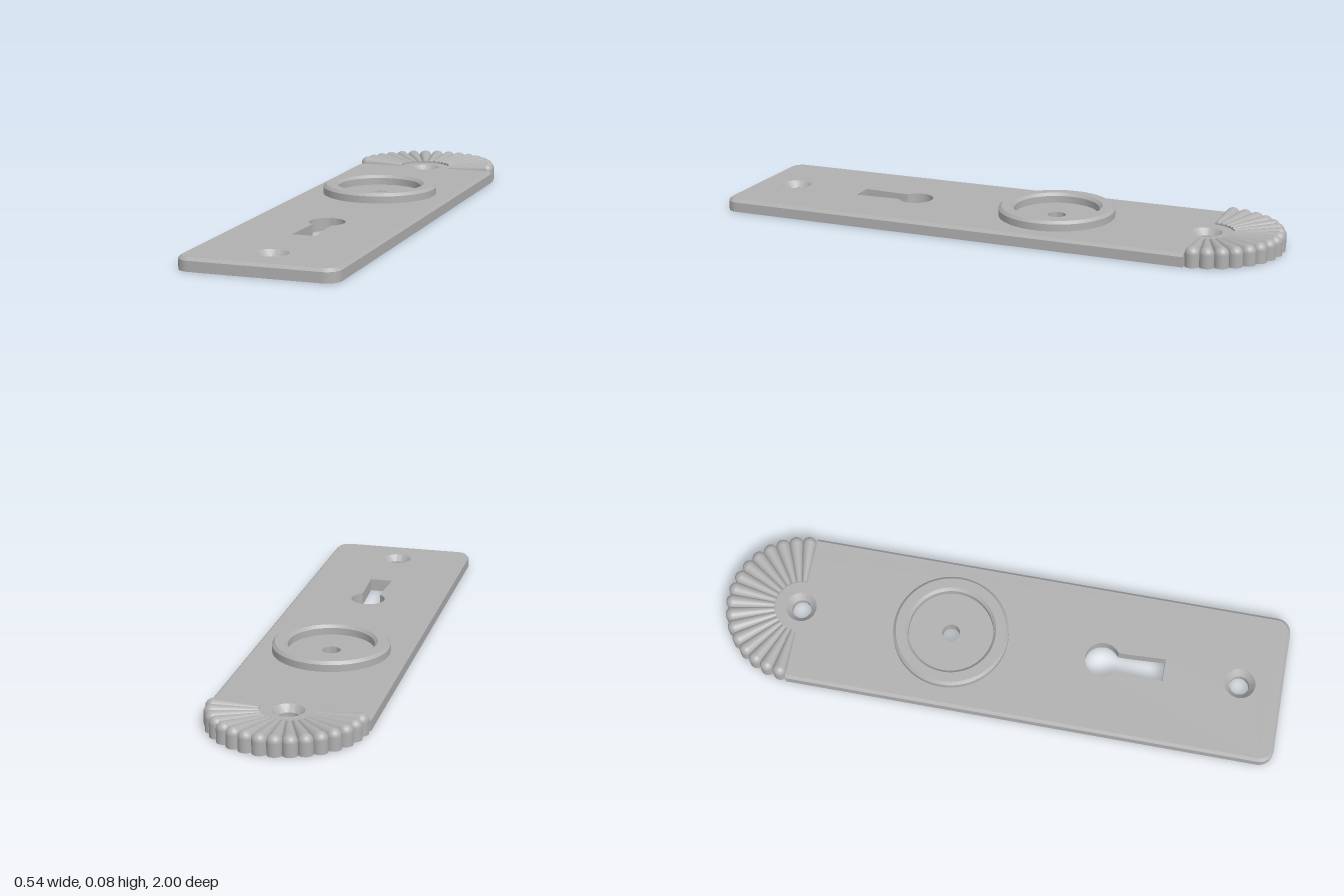
import * as THREE from 'three';
import { toCreasedNormals } from 'three/addons/utils/BufferGeometryUtils.js';

const HALF = 0.27, FAN_Z = -0.73, TOP = 0.045, CORNER = 0.05;
const SCREWS = [FAN_Z, 0.85]; // z of the countersunk holes
const LAYERS = [0, 0.022, 0.035, TOP]; // heights of the plate's edge loops

function circleHole(z, r) {
  return new THREE.Path().absarc(0, -z, r, 0, Math.PI * 2, true);
}

// Backplate: outline with holes, chamfered upper edge, countersunk screw holes
function plateGeometry() {
  const s = new THREE.Shape();
  s.moveTo(-HALF, -FAN_Z);
  s.lineTo(-HALF, -1 + CORNER);
  s.absarc(-HALF + CORNER, -1 + CORNER, CORNER, Math.PI, Math.PI * 1.5, false);
  s.absarc(HALF - CORNER, -1 + CORNER, CORNER, Math.PI * 1.5, Math.PI * 2, false);
  s.lineTo(HALF, -FAN_Z);
  s.absarc(0, -FAN_Z, 0.246, 0, Math.PI, false);

  const key = new THREE.Path();
  const a = Math.asin(0.034 / 0.062);
  key.absarc(0, -0.36, 0.062, -Math.PI / 2 + a, Math.PI * 1.5 - a, false);
  key.lineTo(-0.034, -0.44);
  key.lineTo(-0.041, -0.58);
  key.lineTo(0.041, -0.58);
  key.lineTo(0.034, -0.44);
  s.holes.push(key, circleHole(-0.185, 0.032), ...SCREWS.map(z => circleHole(z, 0.034)));

  const g = new THREE.ExtrudeGeometry(s, { depth: 3, steps: 3, bevelEnabled: false, curveSegments: 24 });
  g.rotateX(-Math.PI / 2);
  const p = g.attributes.position;
  for (let i = 0; i < p.count; i++) {
    const layer = Math.round(p.getY(i)), y = LAYERS[layer];
    let x = p.getX(i), z = p.getZ(i);
    const screw = SCREWS.find(c => Math.hypot(x, z - c) < 0.05);
    if (screw !== undefined) {
      const k = 1 + 0.6 * Math.max(0, (y - LAYERS[1]) / (TOP - LAYERS[1]));
      x *= k;
      z = screw + (z - screw) * k;
    } else if (layer === 3) {
      const dx = x - THREE.MathUtils.clamp(x, CORNER - HALF, HALF - CORNER);
      const dz = z - THREE.MathUtils.clamp(z, FAN_Z, 1 - CORNER);
      const d = Math.hypot(dx, dz);
      if (d > 0.001) {
        x -= dx / d * 0.01;
        z -= dz / d * 0.01;
      }
    }
    p.setXYZ(i, x, y, z);
  }
  return toCreasedNormals(g, 0.5);
}

// Raised collar around the knob hole
function collarGeometry() {
  const profile = [[0.15, 0.04], [0.15, 0.07], [0.16, 0.08], [0.195, 0.08], [0.205, 0.07], [0.205, 0.04]];
  const pts = profile.reverse().map(([r, y]) => new THREE.Vector2(r, y));
  pts.push(pts[0].clone());
  pts.reverse();
  // the lathe needs its outer wall running upwards to face outwards
  pts.reverse();
  return toCreasedNormals(new THREE.LatheGeometry(pts, 72), 0.5);
}

export function createModel() {
  const model = new THREE.Group();
  model.name = 'doorBackplate';
  const metal = new THREE.MeshStandardMaterial({ color: 0xb0b0b0 });
  metal.name = 'greyMetal';
  const add = (parent, geometry, name) => {
    const m = new THREE.Mesh(geometry, metal);
    m.name = name;
    parent.add(m);
    return m;
  };

  add(model, plateGeometry(), 'plate');
  add(model, collarGeometry(), 'knobCollar').position.z = -0.185;

  // Fan of tapered ribs, each ending in a domed post
  const fan = new THREE.Group();
  fan.name = 'shellFan';
  fan.position.z = FAN_Z;
  model.add(fan);
  const COUNT = 16, R0 = 0.095, R1 = 0.245, RIB = 0.025, AXIS = 0.044;
  const taper = new THREE.CylinderGeometry(RIB, RIB * R0 / R1, R1 - R0, 24);
  taper.rotateZ(-Math.PI / 2);
  const post = new THREE.CylinderGeometry(RIB, RIB, AXIS, 24);
  const dome = new THREE.SphereGeometry(RIB, 24, 10, 0, Math.PI * 2, 0, Math.PI / 2);
  for (let i = 0; i < COUNT; i++) {
    const rib = new THREE.Group();
    rib.name = 'fanRib' + (i + 1);
    rib.rotation.y = (i + 0.5) * Math.PI / COUNT;
    add(rib, taper, 'ribTaper').position.set((R0 + R1) / 2, AXIS, 0);
    add(rib, post, 'ribPost').position.set(R1, AXIS / 2, 0);
    add(rib, dome, 'ribDome').position.set(R1, AXIS, 0);
    fan.add(rib);
  }
  return model;
}
